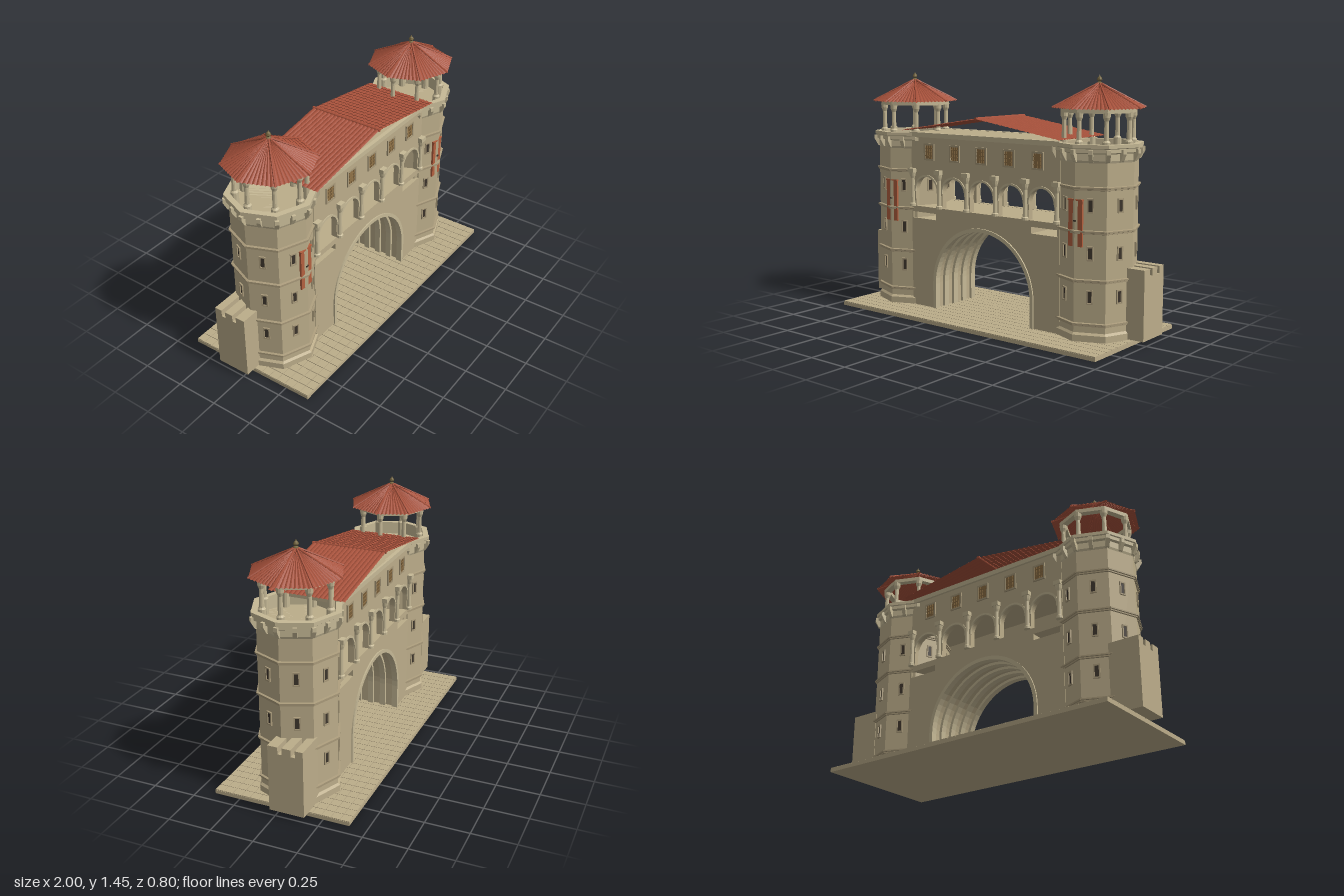
import * as THREE from 'three';
import { mergeGeometries } from 'three/addons/utils/BufferGeometryUtils.js';

const mat = (name, color, extra = {}) => {
  const m = new THREE.MeshStandardMaterial({ color, flatShading: true, ...extra });
  m.name = name;
  return m;
};

export function createModel() {
  const stone = mat('stone', 0xbcad8a);
  const trim = mat('pale stone', 0xc6b996);
  const moulding = mat('moulding stone', 0xa99a7a);
  const tile = mat('roof tile', 0xa5503a, { side: THREE.DoubleSide });
  const wood = mat('painted wood', 0xb4603f);
  const lattice = mat('lattice', 0x8f7146);
  const dark = mat('dark opening', 0x3c342b);
  const metal = mat('finial metal', 0x75663f);

  const model = new THREE.Group();
  model.name = 'gatehouse';
  const add = (parent, name, geometry, material) => {
    const m = new THREE.Mesh(geometry, material);
    m.name = name;
    parent.add(m);
    return m;
  };
  const box = (w, h, d, x, y, z) => new THREE.BoxGeometry(w, h, d).translate(x, y, z);
  // Box given by its limits
  const span = (x0, x1, y0, y1, z0, z1) =>
    box(x1 - x0, y1 - y0, z1 - z0, (x0 + x1) / 2, (y0 + y1) / 2, (z0 + z1) / 2);
  const lathe = (pts, n) => new THREE.LatheGeometry(pts.map(p => new THREE.Vector2(...p)), n);
  const extrude = (shape, depth, z) =>
    new THREE.ExtrudeGeometry(shape, { depth, bevelEnabled: false, curveSegments: 16 }).translate(0, 0, z);
  const rect = (x0, x1, y0, y1, T = THREE.Path) => {
    const p = new T();
    p.moveTo(x0, y0); p.lineTo(x1, y0); p.lineTo(x1, y1); p.lineTo(x0, y1); p.closePath();
    return p;
  };
  // Round-headed outline
  const archPath = (T, cx, r, y0, spring) => {
    const p = new T();
    p.moveTo(cx + r, y0); p.lineTo(cx + r, spring);
    p.absarc(cx, spring, r, 0, Math.PI, false);
    p.lineTo(cx - r, y0); p.closePath();
    return p;
  };
  const archBand = (cx, ro, ri, y0, spring, depth, z) => {
    const s = new THREE.Shape();
    s.moveTo(cx + ro, y0); s.lineTo(cx + ro, spring);
    s.absarc(cx, spring, ro, 0, Math.PI, false);
    s.lineTo(cx - ro, y0); s.lineTo(cx - ri, y0); s.lineTo(cx - ri, spring);
    s.absarc(cx, spring, ri, Math.PI, 0, true);
    s.lineTo(cx + ri, y0); s.closePath();
    return extrude(s, depth, z);
  };
  // Tiled sheet: ribs run down the slope, courses overlap like steps
  const tiledSheet = (ribs, courses, place) => {
    const nu = ribs * 4, nv = courses * 2 - 1;
    const g = new THREE.PlaneGeometry(1, 1, nu, nv);
    const p = g.attributes.position;
    for (let i = 0; i < p.count; i++) {
      const c = i % (nu + 1), row = Math.floor(i / (nu + 1));
      const t = Math.floor((row + 1) / 2) / courses;
      const lift = 0.006 * Math.abs(Math.sin(c * Math.PI / 4)) + (row % 2 ? 0.004 : 0);
      p.setXYZ(i, ...place(c / nu, t, lift));
    }
    g.computeVertexNormals();
    return g;
  };

  // Paved base
  add(model, 'base', span(-0.935, 0.935, 0, 0.021, -0.4, 0.4), stone);
  const paving = [], nx = 34, nz = 15, tx = 1.87 / nx, tz = 0.8 / nz;
  for (let i = 0; i < nx; i++) for (let j = 0; j < nz; j++)
    paving.push(box(tx - 0.003, 0.005, tz - 0.003, -0.935 + tx * (i + 0.5), 0.0235, -0.4 + tz * (j + 0.5)));
  add(model, 'paving', mergeGeometries(paving), stone);

  // Gate wall with the great arch and two slots
  const W = 0.55, D = 0.175, spring = 0.178;
  const gate = new THREE.Shape();
  gate.moveTo(-W, 0.025); gate.lineTo(-0.37, 0.025); gate.lineTo(-0.37, spring);
  gate.absarc(0, spring, 0.37, Math.PI, 0, true);
  gate.lineTo(0.37, 0.025); gate.lineTo(W, 0.025); gate.lineTo(W, 0.64); gate.lineTo(-W, 0.64);
  gate.closePath();
  for (const s of [-1, 1]) gate.holes.push(rect(s * 0.355, s * 0.54, 0.567, 0.605));
  add(model, 'gateWall', extrude(gate, 2 * D, -D), stone);
  const ribs = [];
  for (let i = 0; i < 5; i++)
    ribs.push(archBand(0, 0.376, 0.354, 0.025, spring, 0.036, -0.183 + i * 0.0825));
  add(model, 'archRibs', mergeGeometries(ribs), trim);

  // Arcaded gallery, hollow between two walls
  const gallery = new THREE.Shape();
  rect(-W, W, 0.64, 1.09, THREE.Shape).getPoints().forEach((p, i) => i ? gallery.lineTo(p.x, p.y) : gallery.moveTo(p.x, p.y));
  const bays = [-2, -1, 0, 1, 2].map(i => i * 0.214);
  bays.forEach(x => gallery.holes.push(archPath(THREE.Path, x, 0.088, 0.641, 0.738)));
  const columnProfile = [[0, 0.64], [0.02, 0.64], [0.02, 0.655], [0.014, 0.66], [0.012, 0.81], [0.017, 0.825], [0.021, 0.845], [0, 0.845]];
  for (const s of [1, -1]) {
    const side = new THREE.Group();
    side.name = s > 0 ? 'galleryFront' : 'galleryBack';
    side.rotation.y = s > 0 ? 0 : Math.PI;
    model.add(side);
    add(side, 'galleryWall', extrude(gallery, 0.035, D - 0.035), stone);
    add(side, 'galleryArches', mergeGeometries(bays.map(x => archBand(x, 0.098, 0.086, 0.73, 0.738, 0.01, D - 0.004))), trim);
    const cols = [], caps = [], frames = [], panes = [];
    for (let i = -2.5; i <= 2.5; i++) {
      cols.push(lathe(columnProfile, 10).translate(i * 0.214, 0, D + 0.008));
      caps.push(box(0.044, 0.025, 0.05, i * 0.214, 0.858, D + 0.005));
    }
    for (let i = -2; i <= 2; i++) {
      const x = i * 0.201, f = rect(x - 0.04, x + 0.04, 0.925, 1.025, THREE.Shape);
      f.holes.push(rect(x - 0.03, x + 0.03, 0.935, 1.015));
      frames.push(extrude(f, 0.01, D - 0.002));
      panes.push(box(0.062, 0.082, 0.004, x, 0.975, D + 0.001));
      for (let k = -1; k <= 1; k++) {
        panes.push(box(0.005, 0.08, 0.006, x + k * 0.016, 0.975, D + 0.003));
        panes.push(box(0.06, 0.005, 0.006, x, 0.975 + k * 0.022, D + 0.003));
      }
    }
    add(side, 'galleryColumns', mergeGeometries(cols), trim);
    add(side, 'columnCapitals', mergeGeometries(caps), trim);
    add(side, 'windowFrames', mergeGeometries(frames), moulding);
    add(side, 'latticeWindows', mergeGeometries(panes), lattice);
    add(side, 'cornice', span(-W, W, 1.062, 1.09, D - 0.01, D + 0.014), trim);
  }
  add(model, 'galleryCeiling', span(-W, W, 0.88, 0.9, -D + 0.03, D - 0.03), stone);
  add(model, 'atticFloor', span(-W, W, 1.07, 1.089, -D + 0.01, D - 0.01), stone);

  // Low pitched roof, open under the ridge
  for (const s of [-1, 1]) {
    add(model, 'roofSlope', tiledSheet(18, 16, (u, t, h) =>
      [s * 0.58 * (1 - t), 1.098 + 0.09 * t + h * 0.7, s * (0.225 - 0.45 * u)]), tile);
  }
  add(model, 'ridgeCap', new THREE.CylinderGeometry(0.009, 0.009, 0.456, 8).rotateX(Math.PI / 2).translate(0, 1.19, 0), tile);

  // Octagonal towers
  const buildTower = (x) => {
    const t = new THREE.Group();
    t.name = x > 0 ? 'leftTower' : 'rightTower';
    t.position.x = x;
    model.add(t);
    const ring = (g, i, n = 8, off = 0) => g.rotateY((i + off) * 2 * Math.PI / n);
    add(t, 'shaft', new THREE.CylinderGeometry(0.225, 0.225, 0.985, 8).translate(0, 0.5175, 0), stone);
    add(t, 'plinth', lathe([[0.237, 0.025], [0.237, 0.062], [0.224, 0.075]], 8), stone);
    add(t, 'bands', mergeGeometries([0.118, 0.356, 0.62, 0.853].map(y => lathe(
      [[0.224, -0.011], [0.232, -0.009], [0.232, -0.002], [0.238, 0], [0.238, 0.008], [0.224, 0.011]], 8).translate(0, y, 0))), moulding);
    add(t, 'parapet', lathe([[0.224, 0.985], [0.23, 1.0], [0.23, 1.035], [0.244, 1.042], [0.244, 1.062], [0.251, 1.066],
      [0.251, 1.085], [0.216, 1.085], [0.216, 1.01], [0, 1.01]], 8), trim);

    const brackets = [], frames = [], panes = [], cols = [];
    const bracket = new THREE.Shape();
    bracket.moveTo(0, 0.99); bracket.lineTo(0.014, 0.995); bracket.lineTo(0.036, 1.035);
    bracket.lineTo(0.036, 1.058); bracket.lineTo(0, 1.058); bracket.closePath();
    for (let i = 0; i < 16; i++)
      brackets.push(ring(extrude(bracket, 0.022, -0.011).translate(i % 2 ? 0.205 : 0.22, 0, 0), i, 16));
    for (let i = 0; i < 8; i++) {
      for (const y of [0.27, 0.506, 0.762]) {
        const f = rect(-0.018, 0.018, y - 0.039, y + 0.039, THREE.Shape);
        f.holes.push(rect(-0.011, 0.011, y - 0.031, y + 0.031));
        frames.push(ring(extrude(f, 0.01, 0.206), i, 8, 0.5));
        panes.push(ring(box(0.024, 0.064, 0.004, 0, y, 0.208), i, 8, 0.5));
      }
      const col = lathe([[0.022, 1.01], [0.022, 1.095], [0.014, 1.105], [0.012, 1.205], [0.02, 1.225], [0.022, 1.25]], 10);
      cols.push(ring(col.translate(0, 0, 0.19), i));
    }
    add(t, 'brackets', mergeGeometries(brackets), trim);
    add(t, 'windowFrames', mergeGeometries(frames), moulding);
    add(t, 'windowOpenings', mergeGeometries(panes), dark);
    add(t, 'belvedereColumns', mergeGeometries(cols), trim);
    add(t, 'ringBeam', lathe([[0.172, 1.245], [0.21, 1.245], [0.21, 1.268], [0.172, 1.268], [0.172, 1.245]], 8), trim);

    // Tiled octagonal roof
    add(t, 'towerRoof', tiledSheet(64, 9, (u, v, h) => {
      const a = u * 2 * Math.PI, local = (a % (Math.PI / 4)) - Math.PI / 8;
      const r = 0.258 * Math.cos(Math.PI / 8) / Math.cos(local) * (1 - v);
      return [r * Math.sin(a), 1.265 + 0.13 * v + h * (1 - v * 0.7), r * Math.cos(a)];
    }), tile);
    const hips = [];
    for (let i = 0; i < 8; i++) {
      const path = new THREE.LineCurve3(new THREE.Vector3(0, 1.27, 0.258), new THREE.Vector3(0, 1.4, 0.004));
      hips.push(ring(new THREE.TubeGeometry(path, 1, 0.006, 6), i));
    }
    add(t, 'hipTiles', mergeGeometries(hips), tile);
    add(t, 'finial', lathe([[0.016, 1.39], [0.014, 1.402], [0.006, 1.407], [0.015, 1.418], [0.011, 1.428], [0.004, 1.435], [0, 1.445]], 10), metal);

    // Painted shutters either side of the front corner
    add(t, 'shutters', span(-0.044, 0.044, 0.54, 0.79, 0.2, 0.2185), wood);
    add(t, 'shutterHead', span(-0.046, 0.046, 0.787, 0.795, 0.2, 0.223), wood);
    add(t, 'shutterHandle', span(-0.008, 0.008, 0.675, 0.683, 0.22, 0.228), dark);

    // Side wall stub with battlements
    const s = Math.sign(x), stub = [span(0.14, 0.32, 0.03, 0.38, -0.17, 0.033)];
    for (const [z0, z1] of [[-0.17, -0.125], [-0.1, -0.05], [-0.025, 0.033]])
      stub.push(span(0.14, 0.32, 0.378, 0.42, z0, z1));
    const g = mergeGeometries(stub);
    add(t, 'sideWall', s > 0 ? g : g.translate(-0.46, 0, 0), stone);
  };
  [-0.68, 0.68].forEach(buildTower);
  return model;
}
